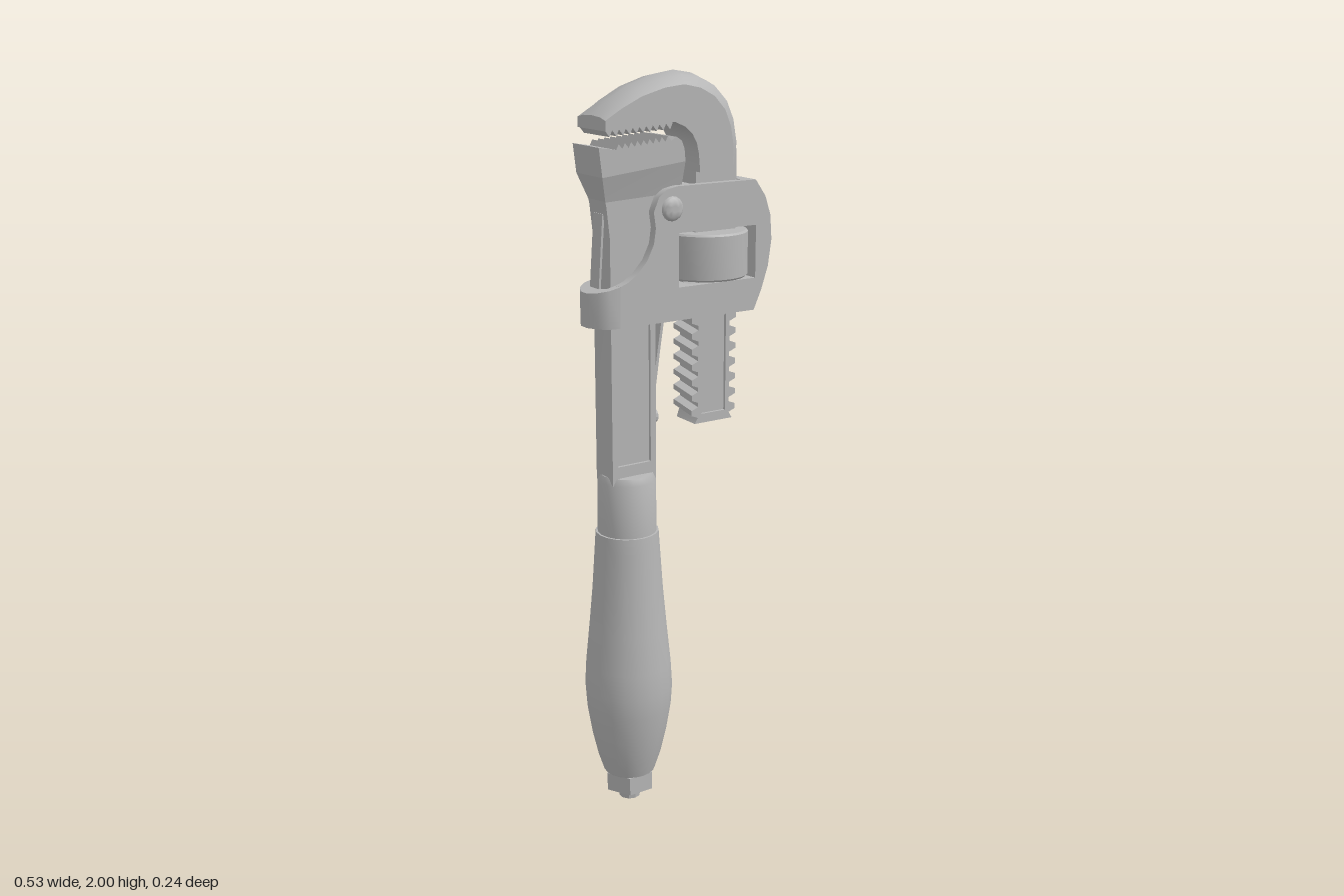
import * as THREE from 'three';
import { toCreasedNormals } from 'three/addons/utils/BufferGeometryUtils.js';

const steel = new THREE.MeshStandardMaterial({ color: 0xb6b6b6 });
steel.name = 'grey steel';

export function createModel() {
  const model = new THREE.Group();

  function add(name, geometry, x = 0, y = 0, z = 0, crease = 0.6) {
    const mesh = new THREE.Mesh(toCreasedNormals(geometry, crease), steel);
    mesh.name = name;
    mesh.position.set(x, y, z);
    model.add(mesh);
  }
  const toShape = (pts) => new THREE.Shape(pts.map(([x, y]) => new THREE.Vector2(x, y)));
  const rect = (x0, y0, x1, y1) => [[x0, y0], [x1, y0], [x1, y1], [x0, y1]];

  // Flat part in the xy plane, from z0 to z1, with optional rectangular hole
  function slab(pts, z0, z1, hole) {
    const shape = toShape(pts);
    if (hole) shape.holes.push(new THREE.Path(toShape(rect(...hole)).getPoints()));
    const g = new THREE.ExtrudeGeometry(shape, { depth: z1 - z0, bevelEnabled: false });
    return g.translate(0, 0, z0);
  }
  function box(name, x0, x1, y0, y1, halfZ) {
    add(name, new THREE.BoxGeometry(x1 - x0, y1 - y0, halfZ * 2), (x0 + x1) / 2, (y0 + y1) / 2);
  }
  const lathe = (pts, n) => new THREE.LatheGeometry(pts.map(([r, y]) => new THREE.Vector2(r, y)), n);

  // Handle with ferrule, end nut and bolt
  const hx = -0.146;
  add('handleGrip', lathe([[0, 0.085], [0.072, 0.09], [0.088, 0.14], [0.104, 0.21], [0.117, 0.29], [0.121, 0.35],
    [0.117, 0.42], [0.106, 0.53], [0.096, 0.64], [0.088, 0.76], [0.085, 0.805], [0, 0.81]], 20), hx);
  add('handleFerrule', lathe([[0.08, 0.79], [0.078, 0.95], [0.07, 0.968], [0, 0.97]], 20), hx);
  add('endNut', new THREE.CylinderGeometry(0.072, 0.072, 0.052, 6).rotateY(Math.PI / 6), hx, 0.061);
  add('endBolt', new THREE.CylinderGeometry(0.034, 0.03, 0.045, 10), hx, 0.0225);

  // Main shank with a recessed panel on both faces
  add('mainShank', slab([[-0.213, 0.95], [-0.08, 0.95], [-0.08, 1.55], [-0.05, 1.63], [-0.005, 1.68], [-0.002, 1.76],
    [-0.24, 1.76], [-0.222, 1.68], [-0.213, 1.6]], -0.042, 0.042, [-0.197, 1.0, -0.096, 1.37]));
  box('shankWeb', -0.2, -0.093, 0.99, 1.38, 0.034);

  // Saw-tooth line between two points
  function sawtooth(x0, x1, y0, y1, height, count) {
    const pts = [];
    for (let i = 0; i < count; i++) {
      const a = i / count, b = (i + 0.6) / count;
      pts.push([x0 + (x1 - x0) * a, y0 + (y1 - y0) * a]);
      pts.push([x0 + (x1 - x0) * b, y0 + (y1 - y0) * b + height]);
    }
    pts.push([x1, y1]);
    return pts;
  }

  // Lower jaw: toothed block and tapered neck
  add('lowerJaw', slab([[-0.245, 1.755], [-0.003, 1.78], [-0.006, 1.812], [-0.014, 1.832], [-0.03, 1.842],
    ...sawtooth(-0.045, -0.205, 1.833, 1.82, 0.013, 9), [-0.254, 1.828]], -0.064, 0.064), 0, 0, 0, 0.3);
  const taper = slab([[-0.224, 1.69], [-0.003, 1.7], [-0.003, 1.78], [-0.245, 1.755]], -0.064, 0.064);
  const tp = taper.attributes.position;
  for (let i = 0; i < tp.count; i++) if (tp.getY(i) < 1.72) tp.setZ(i, tp.getZ(i) * 0.65);
  add('lowerJawTaper', taper, 0, 0, 0, 0.3);

  // Hook jaw: crowned section swept through stations of [outer x, y, inner x, y]
  const stations = [
    [-0.237, 1.9, -0.237, 1.866], [-0.19, 1.935, -0.19, 1.87], [-0.13, 1.968, -0.14, 1.877],
    [-0.06, 1.991, -0.08, 1.882], [0, 2, -0.035, 1.878], [0.055, 1.991, -0.005, 1.865],
    [0.105, 1.968, 0.015, 1.847], [0.145, 1.928, 0.028, 1.825], [0.167, 1.88, 0.034, 1.8],
    [0.178, 1.82, 0.037, 1.775], [0.175, 1.765, 0.038, 1.75]];
  const section = [[0, -0.068], [0, 0.068], [0.74, 0.068], [0.93, 0.042], [1, 0], [0.93, -0.042], [0.74, -0.068]];
  const verts = [], faces = [], n = section.length;
  stations.forEach(([ox, oy, ix, iy]) => section.forEach(([t, z]) =>
    verts.push(ix + (ox - ix) * t, iy + (oy - iy) * t, z)));
  for (let s = 0; s < stations.length - 1; s++) {
    for (let k = 0; k < n; k++) {
      const a = s * n + k, b = s * n + (k + 1) % n;
      faces.push(a, b + n, b, a, a + n, b + n);
    }
  }
  const last = (stations.length - 1) * n;
  for (let k = 1; k < n - 1; k++) faces.push(0, k, k + 1, last, last + k + 1, last + k);
  const hook = new THREE.BufferGeometry();
  hook.setAttribute('position', new THREE.Float32BufferAttribute(verts, 3));
  hook.setIndex(faces);
  add('hookJaw', hook);
  add('hookTeeth', slab([[-0.234, 1.885], ...sawtooth(-0.234, -0.04, 1.866, 1.876, -0.015, 10), [-0.04, 1.89]],
    -0.062, 0.062), 0, 0, 0, 0.3);

  // Hook shank with slanted thread teeth on both edges
  const pitch = 0.042, right = [], left = [];
  for (let y = 1.09; y < 1.44; y += pitch) {
    right.push([0.152, y], [0.172, y + 0.008], [0.172, y + 0.022], [0.152, y + 0.03]);
    left.push([0.052, y + 0.012], [0.032, y + 0.02], [0.032, y + 0.034], [0.052, y + 0.042]);
  }
  const thread = slab([[0.042, 1.08], [0.162, 1.08], ...right, [0.168, 1.48], [0.168, 1.8], [0.042, 1.8],
    [0.042, 1.48], ...left.reverse()], -0.044, 0.044, [0.064, 1.105, 0.14, 1.44]);
  const hp = thread.attributes.position;
  for (let i = 0; i < hp.count; i++) {
    const x = hp.getX(i), y = hp.getY(i);
    if (y > 1.089 && y < 1.47 && (x < 0.06 || x > 0.145)) hp.setY(i, y + hp.getZ(i) * (x > 0.1 ? 0.15 : -0.15));
  }
  add('hookShank', thread, 0, 0, 0, 0.3);
  box('hookShankWeb', 0.06, 0.144, 1.1, 1.45, 0.036);

  // Housing: mirrored side plates, end wall, inner fillers and rounded strap
  const arc = [[0.213, 1.376], [0.237, 1.43], [0.257, 1.49], [0.267, 1.56], [0.262, 1.625], [0.245, 1.675],
    [0.213, 1.72]];
  const plate = [[-0.2, 1.376], ...arc, [-0.03, 1.72], [-0.06, 1.714], [-0.085, 1.695], [-0.1, 1.66], [-0.094, 1.62],
    [-0.1, 1.58], [-0.12, 1.54], [-0.15, 1.508], [-0.178, 1.49], [-0.2, 1.482]];
  for (const [z0, z1] of [[0.044, 0.068], [-0.068, -0.044]]) {
    add('housingPlate', slab(plate, z0, z1, [-0.025, 1.462, 0.216, 1.602]));
  }
  add('housingEndWall', slab([...arc, [0.18, 1.72], [0.18, 1.602], [0.216, 1.602], [0.216, 1.462], [0.18, 1.462],
    [0.18, 1.376]], -0.067, 0.067));
  box('housingLowerFiller', -0.028, 0.028, 1.378, 1.46, 0.05);
  box('housingUpperFiller', 0.004, 0.034, 1.604, 1.718, 0.05);
  const strap = new THREE.ExtrudeGeometry(toShape([[-0.198, -0.068], [-0.198, -0.044], [-0.222, -0.042], [-0.232, -0.02],
    [-0.232, 0.02], [-0.222, 0.042], [-0.198, 0.044], [-0.198, 0.068], [-0.23, 0.064], [-0.252, 0.045], [-0.267, 0.015],
    [-0.267, -0.015], [-0.252, -0.045], [-0.23, -0.064]]), { depth: 0.09, bevelEnabled: false });
  const sp = strap.rotateX(-Math.PI / 2).translate(0, 1.376, 0).attributes.position;
  for (let i = 0; i < sp.count; i++) if (sp.getY(i) > 1.4) sp.setY(i, 1.465 + (sp.getX(i) + 0.267) * 0.25);
  add('housingStrap', strap);

  // Adjusting nut in the housing window
  add('adjustingNut', lathe([[0, 1.472], [0.109, 1.472], [0.114, 1.477], [0.114, 1.589], [0.109, 1.594], [0, 1.594]], 28),
    0.099);

  // Pivot rivets on both faces
  for (const side of [1, -1]) {
    const dome = new THREE.SphereGeometry(0.032, 16, 6, 0, Math.PI * 2, 0, Math.PI / 2);
    dome.scale(1, 0.45, 1).rotateX(side * Math.PI / 2);
    add('pivotRivet', dome, -0.045, 1.665, side * 0.067);
  }

  // Leaf springs along the main shank, with a fixing rivet
  add('innerSpring', slab([[-0.08, 1.08], [-0.07, 1.08], [-0.066, 1.2], [-0.052, 1.3], [-0.036, 1.4], [-0.044, 1.4],
    [-0.06, 1.3], [-0.075, 1.2]], -0.022, 0.022));
  add('springRivet', new THREE.CylinderGeometry(0.018, 0.02, 0.026, 12).rotateZ(-Math.PI / 2), -0.069, 1.11);
  add('outerSpring', slab([[-0.238, 1.44], [-0.232, 1.44], [-0.216, 1.66], [-0.222, 1.66]], -0.022, 0.022));

  return model;
}
